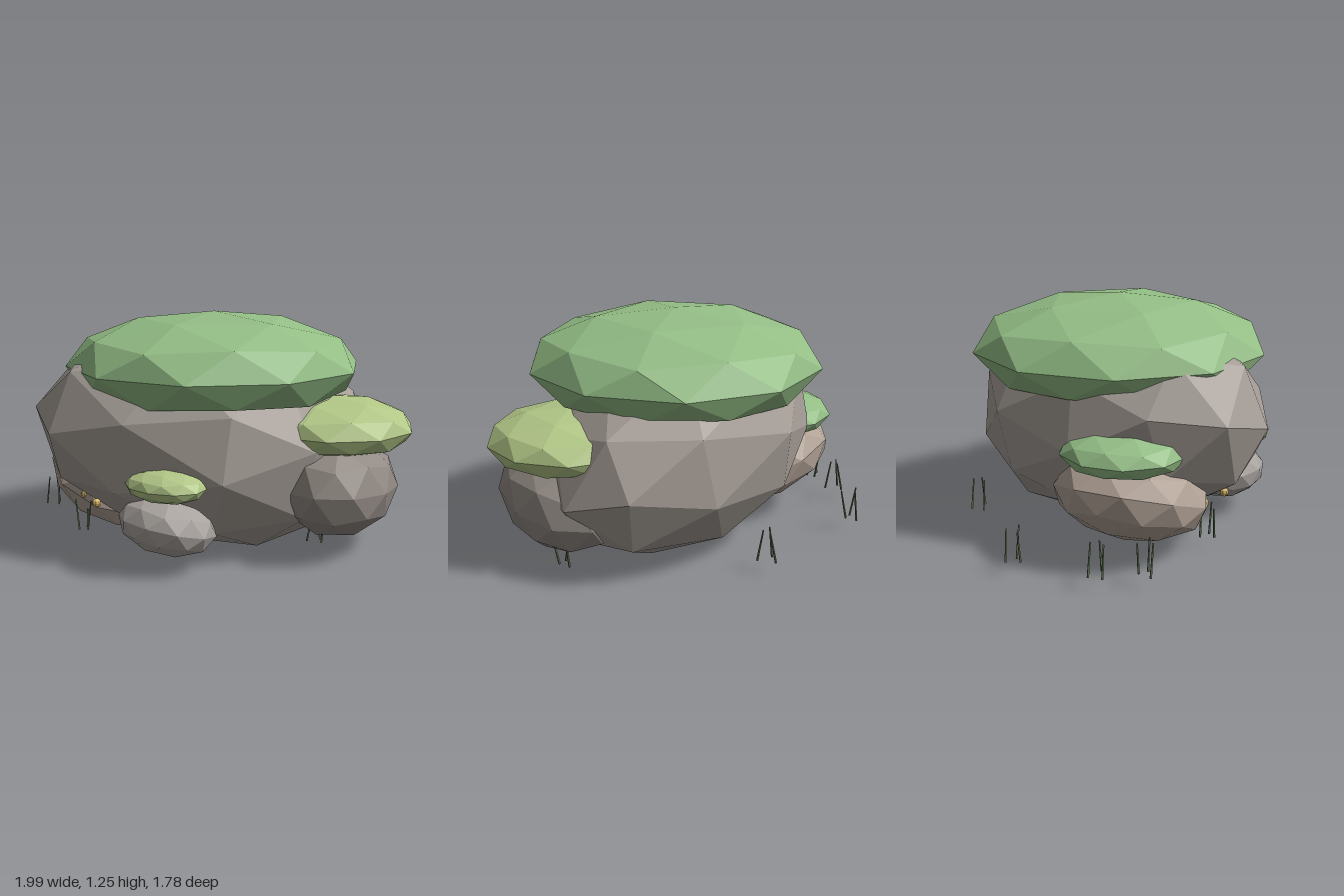
import * as THREE from 'three';

const COLORS = {
  rock: 0xa59d96, brownRock: 0xb0a195, darkRock: 0x928a84, paleRock: 0xa8a29e,
  moss: 0x94be86, lightMoss: 0xb2c787, grass: 0x66785a, bead: 0xd8b868,
};

function makeMesh(name, geometry, color) {
  const material = new THREE.MeshStandardMaterial({ color, flatShading: true });
  const mesh = new THREE.Mesh(geometry, material);
  mesh.name = name;
  return mesh;
}

// Faceted ball with one five-way corner pointing straight up
function facetedBall() {
  return new THREE.IcosahedronGeometry(1, 1)
    .rotateX(-Math.atan2(1 + Math.sqrt(5), 2))
    .rotateY(Math.PI / 2);
}

// Main boulder: pole to the front, both ends pulled sideways
function mainBoulder() {
  const geometry = new THREE.IcosahedronGeometry(1, 1)
    .rotateX(Math.atan2(2, 1 + Math.sqrt(5)))
    .rotateZ(Math.PI + 0.16);
  const p = geometry.attributes.position;
  for (let i = 0; i < p.count; i++) {
    const x = p.getX(i), y = p.getY(i), z = p.getZ(i);
    p.setXYZ(i,
      0.02 + 0.75 * x - 0.28 * z * Math.abs(z),
      0.585 - 0.09 * x + 0.6 * y + 0.08 * z,
      0.89 * z);
  }
  geometry.computeVertexNormals();
  return makeMesh('mainBoulder', geometry, COLORS.rock);
}

// Squashed, tilted boulder
function rock(name, color, center, size, tilt) {
  const mesh = makeMesh(name, facetedBall(), color);
  mesh.scale.set(...size);
  mesh.rotation.set(...tilt);
  mesh.position.set(...center);
  return mesh;
}

// Domed cushion whose underside is cut off flat
function moss(name, color, center, size, floor, turn = 0) {
  const geometry = facetedBall();
  const p = geometry.attributes.position;
  for (let i = 0; i < p.count; i++) p.setY(i, Math.max(p.getY(i), -floor));
  geometry.scale(...size);
  geometry.computeVertexNormals();
  const mesh = makeMesh(name, geometry, color);
  mesh.position.set(...center);
  mesh.rotation.y = turn;
  return mesh;
}

// Three thin blades standing in a triangle, each leaning sideways
function grassTuft(x, z, index) {
  const tuft = new THREE.Group();
  tuft.name = 'grassTuft';
  const leans = [-0.2, 0.16, -0.1];
  for (let i = 0; i < 3; i++) {
    const angle = (i * Math.PI * 2) / 3;
    const blade = makeMesh('grassBlade', new THREE.CylinderGeometry(0.004, 0.006, 0.17, 4), COLORS.grass);
    blade.position.set(0.04 * Math.cos(angle), 0.165, 0.04 * Math.sin(angle));
    blade.rotation.z = leans[(i + index) % 3];
    tuft.add(blade);
  }
  tuft.position.set(x, 0, z);
  return tuft;
}

export function createModel() {
  const model = new THREE.Group();
  model.name = 'mossyBoulders';

  // Boulders
  model.add(
    mainBoulder(),
    rock('rightBoulder', COLORS.brownRock, [-0.47, 0.305, 0.25], [0.44, 0.23, 0.4], [0, -0.1, -0.36]),
    rock('leftBoulder', COLORS.darkRock, [0.66, 0.35, -0.32], [0.3, 0.27, 0.47], [-0.1, 0.4, 0.05]),
    rock('frontBoulder', COLORS.paleRock, [0.27, 0.23, 0.56], [0.26, 0.15, 0.22], [-0.2, 0.35, -0.05]),
  );

  // Moss cushions
  model.add(
    moss('mossCap', COLORS.moss, [0.03, 0.97, 0], [0.8, 0.285, 0.8], 0.6),
    moss('leftMoss', COLORS.lightMoss, [0.58, 0.66, -0.34], [0.44, 0.16, 0.44], 0.75),
    moss('frontMoss', COLORS.lightMoss, [0.34, 0.46, 0.63], [0.215, 0.08, 0.155], 0.95, 0.3),
    moss('rightMoss', COLORS.moss, [-0.56, 0.585, 0.24], [0.33, 0.12, 0.33], 0.7),
  );

  // Grass tufts
  const tufts = [[-0.94, -0.19], [-0.95, 0.245], [-0.86, 0.455], [-0.34, 0.62],
    [-0.4, -0.66], [0.67, -0.13], [0.63, -0.63]];
  tufts.forEach(([x, z], i) => model.add(grassTuft(x, z, i)));

  // Little golden beads at the front
  for (const [x, z] of [[-0.36, 0.6], [-0.18, 0.66]]) {
    const bead = makeMesh('bead', new THREE.SphereGeometry(0.024, 8, 6), COLORS.bead);
    bead.position.set(x, 0.27, z);
    model.add(bead);
  }

  return model;
}
